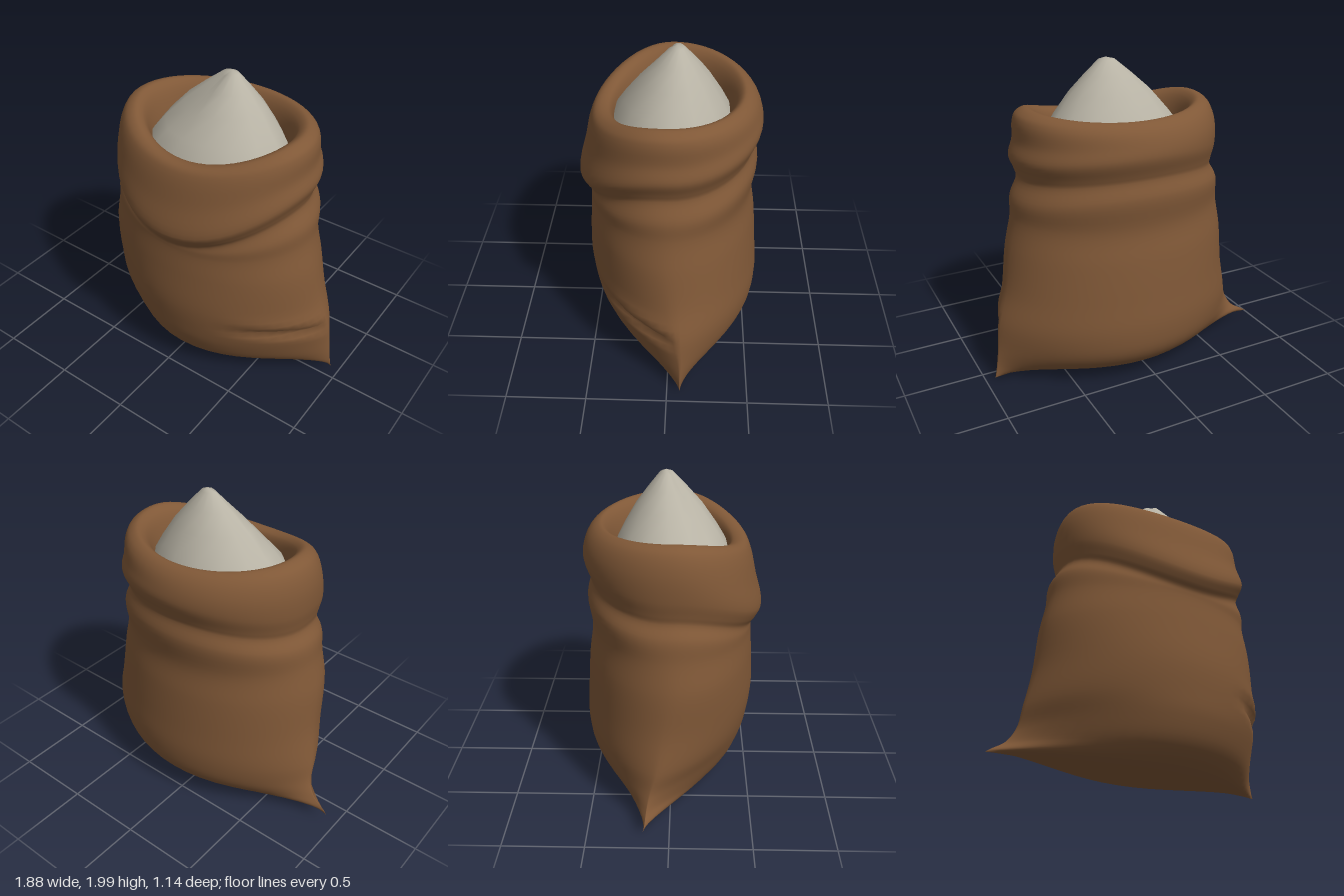
import * as THREE from 'three';
import { mergeVertices } from 'three/addons/utils/BufferGeometryUtils.js';

const burlap = new THREE.MeshStandardMaterial({ color: 0x805837, side: THREE.DoubleSide });
burlap.name = 'brown burlap';
const powder = new THREE.MeshStandardMaterial({ color: 0xb8b3a5, side: THREE.DoubleSide });
powder.name = 'pale flour';

// Skin a stack of closed rings; each ring is an array of Vector3, listed bottom to top
function skin(rings) {
  const n = rings[0].length, pos = [], index = [];
  rings.forEach((ring) => ring.forEach((p) => pos.push(p.x, p.y, p.z)));
  for (let i = 0; i < rings.length - 1; i++) {
    for (let j = 0; j < n; j++) {
      const a = i * n + j, c = i * n + (j + 1) % n;
      index.push(a, a + n, c, a + n, c + n, c);
    }
  }
  const g = new THREE.BufferGeometry();
  g.setAttribute('position', new THREE.Float32BufferAttribute(pos, 3));
  g.setIndex(index);
  const merged = mergeVertices(g, 1e-4);
  merged.computeVertexNormals();
  return merged;
}

// Sack sections: height at front, back, left, right; x range; z front, back; z of side seams; pointedness
const bodyRows = [
  [0.01, 0.01, 0.07, 0.02, -0.94, 0.94, -0.10, -0.10, -0.16, -0.08, 1.5],
  [0.03, 0.03, 0.09, 0.04, -0.91, 0.935, 0.25, -0.28, -0.15, -0.08, 2.3],
  [0.12, 0.10, 0.14, 0.10, -0.83, 0.925, 0.40, -0.44, -0.14, -0.08, 2.1],
  [0.28, 0.22, 0.22, 0.22, -0.78, 0.91, 0.48, -0.54, -0.12, -0.08, 1.75],
  [0.42, 0.38, 0.36, 0.40, -0.76, 0.89, 0.51, -0.57, -0.08, -0.06, 1.4],
  [0.60, 0.60, 0.58, 0.60, -0.72, 0.83, 0.53, -0.56, -0.04, -0.03, 1.18],
  [0.85, 0.85, 0.85, 0.85, -0.70, 0.785, 0.52, -0.54, 0, 0, 1.08],
  [1.00, 1.05, 1.05, 1.05, -0.66, 0.74, 0.51, -0.515, 0, 0, 1.05],
];
// Tucked neck and rolled collar
const collarRows = [
  [1.04, 1.25, 1.19, 1.18, -0.64, 0.73, 0.51, -0.54, 0, 0, 1],
  [1.07, 1.36, 1.28, 1.30, -0.59, 0.68, 0.515, -0.515, 0, 0, 1],
  [1.11, 1.40, 1.33, 1.35, -0.595, 0.69, 0.545, -0.525, 0, 0, 1],
  [1.17, 1.50, 1.42, 1.44, -0.61, 0.72, 0.572, -0.56, 0, 0, 1],
  [1.36, 1.58, 1.56, 1.54, -0.61, 0.695, 0.53, -0.55, 0, 0, 1],
  [1.53, 1.65, 1.66, 1.65, -0.585, 0.69, 0.49, -0.52, 0, 0, 1],
  [1.585, 1.69, 1.71, 1.70, -0.55, 0.67, 0.46, -0.48, 0, 0, 1],
  [1.60, 1.70, 1.73, 1.73, -0.49, 0.61, 0.42, -0.44, 0, 0, 1],
  [1.585, 1.66, 1.69, 1.69, -0.44, 0.55, 0.37, -0.40, 0, 0, 1],
  [1.50, 1.55, 1.55, 1.55, -0.39, 0.50, 0.34, -0.36, 0, 0, 1],
  [1.40, 1.42, 1.42, 1.42, -0.37, 0.48, 0.33, -0.35, 0, 0, 1],
];

function sectionPoint([yF, yB, yL, yR, xL, xR, zF, zB, zL, zR, p], t) {
  const c = Math.cos(t), s = Math.sin(t);
  let y = c * c * (c > 0 ? yR : yL) + s * s * (s > 0 ? yF : yB);
  // the underside arches up between the belly and the corners
  y += 0.02 * Math.max(0, 1 - y / 0.25) * Math.sin(2 * t) ** 2;
  const x = (xL + xR) / 2 + c * (xR - xL) / 2;
  const z = THREE.MathUtils.lerp(c > 0 ? zR : zL, s > 0 ? zF : zB, Math.abs(s) ** p);
  return new THREE.Vector3(x, y, z);
}

// Pinched fold low on the front left of the cloth
function pinch(p, t) {
  if (t > 0 && t < 1.15) {
    const w = Math.sin(Math.PI * t / 1.15), d = p.y - 0.37 - 0.1 * t;
    const push = w * (0.015 * Math.exp(-(((d - 0.07) / 0.06) ** 2)) - 0.045 * Math.exp(-((d / 0.035) ** 2)));
    p.x += push * Math.cos(t);
    p.z += push * Math.sin(t);
  }
  return p;
}

function sackGeometry() {
  const around = 56, steps = 5, rows = [...bodyRows, ...collarRows];
  const total = (rows.length - 1) * steps;
  const rings = Array.from({ length: total + 1 }, () => []);
  for (let j = 0; j < around; j++) {
    const t = j / around * Math.PI * 2;
    const curve = new THREE.CatmullRomCurve3(rows.map((r) => sectionPoint(r, t)), false, 'centripetal');
    for (let i = 0; i <= total; i++) rings[i].push(pinch(curve.getPoint(i / total), t));
  }
  return skin(rings);
}

// Heap of flour: rings shrinking toward an off-centre peak
function heapGeometry() {
  const profile = [[1.12, 1.46], [1, 1.56], [0.85, 1.655], [0.6, 1.79], [0.35, 1.895], [0.12, 1.985], [0, 2]];
  const around = 14;
  return skin(profile.map(([k, y]) => Array.from({ length: around }, (_, j) => {
    const t = j / around * Math.PI * 2;
    const x = 0.12 + k * (0.06 + 0.435 * Math.cos(t) - 0.12);
    const z = -0.04 + k * (-0.01 + 0.35 * Math.sin(t) + 0.04);
    // shallow hollow on the front right slope
    const hollow = 0.05 * Math.exp(-(((t - 2.2) / 0.45) ** 2)) * Math.sin(Math.PI * Math.min(k, 1));
    return new THREE.Vector3(x, y - hollow, z);
  })));
}

export function createModel() {
  const group = new THREE.Group();
  group.name = 'flourSack';
  const sack = new THREE.Mesh(sackGeometry(), burlap);
  sack.name = 'sackCloth';
  const heap = new THREE.Mesh(heapGeometry(), powder);
  heap.name = 'flourHeap';
  group.add(sack, heap);
  return group;
}
